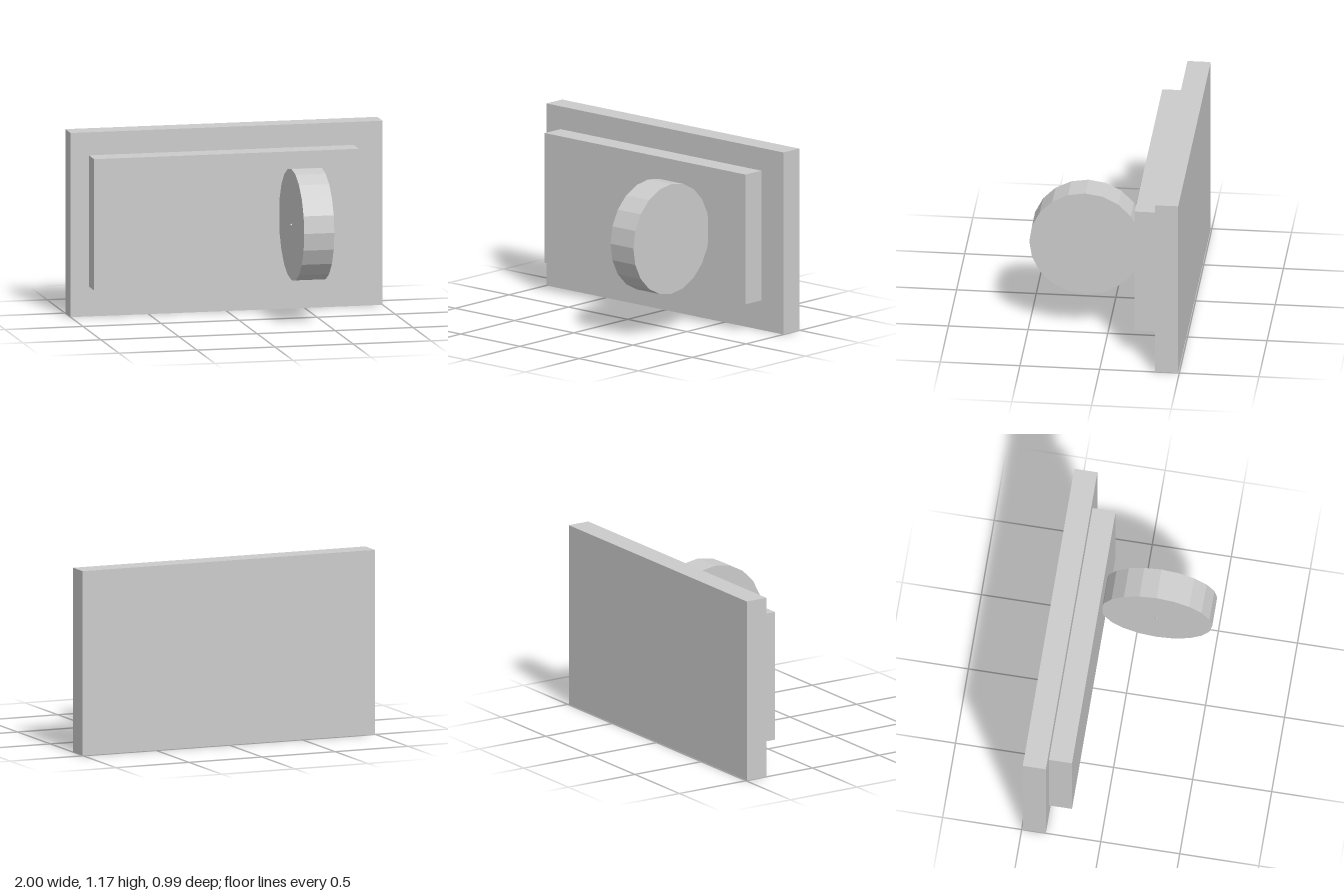
import * as THREE from 'three';

export function createModel() {
  const group = new THREE.Group();
  const material = new THREE.MeshStandardMaterial({ color: 0xcccccc, flatShading: true });

  function add(name, geometry, x, y, z) {
    const mesh = new THREE.Mesh(geometry, material);
    mesh.name = name;
    mesh.position.set(x, y, z);
    group.add(mesh);
    return mesh;
  }

  // Box given by its lower and upper corners
  function slab(name, [x0, y0, z0], [x1, y1, z1]) {
    return add(name, new THREE.BoxGeometry(x1 - x0, y1 - y0, z1 - z0),
      (x0 + x1) / 2, (y0 + y1) / 2, (z0 + z1) / 2);
  }

  // Disc with its axle along x
  function disc(name, radius, x0, x1, sides) {
    const geometry = new THREE.CylinderGeometry(radius, radius, x1 - x0, sides).rotateZ(Math.PI / 2);
    return add(name, geometry, (x0 + x1) / 2, 0.618, 0.141);
  }

  // Large back plate with a smaller raised panel on its front
  slab('backPlate', [-1, 0, -0.493], [1, 1.167, -0.347]);
  slab('frontPanel', [-0.882, 0.189, -0.347], [0.813, 1.021, -0.201]);

  // Upright wheel set into the panel, with a tiny axle pin on its right face
  disc('wheel', 0.352, 0.304, 0.497, 20);
  disc('axlePin', 0.006, 0.296, 0.31, 8);

  return group;
}
